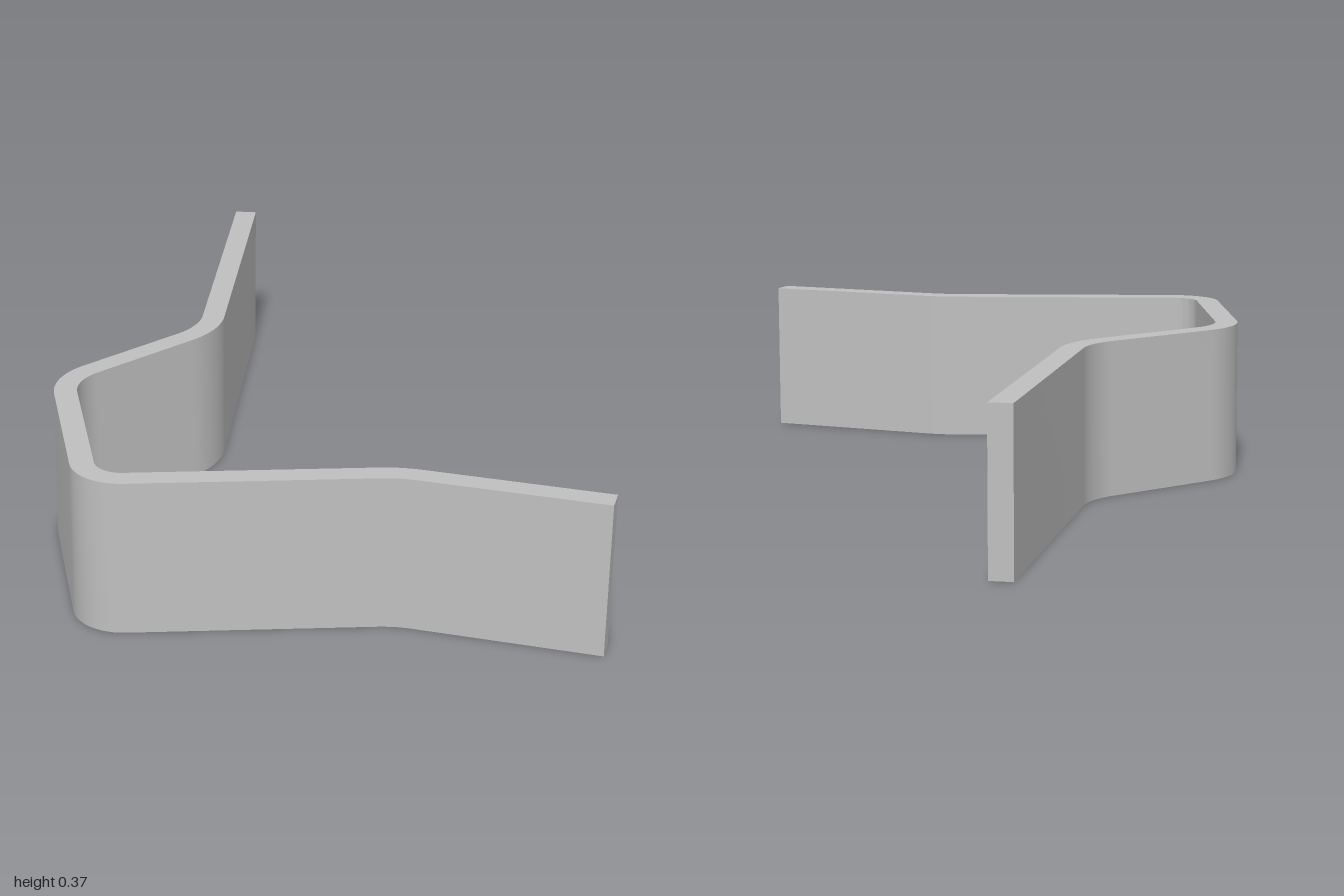
import * as THREE from 'three';
import { toCreasedNormals } from 'three/addons/utils/BufferGeometryUtils.js';

const HEIGHT = 0.373;
const THICKNESS = 0.055;
const ARC_STEPS = 12;

// Centre line of the strip seen from above: x, z, bend radius
const PATH = [
  [0.412, -0.9875, 0],
  [0.028, -0.233, 0.21],
  [-0.408, -0.065, 0.156],
  [-0.523, 0.476, 0.092],
  [0.138, 0.688, 0.26],
  [0.52, 0.978, 0],
];

// Outline of a constant-thickness strip with rounded bends
function stripOutline(path, thickness) {
  const pts = path.map(([x, z]) => new THREE.Vector2(x, -z));
  const headings = pts.slice(1).map((p, i) => p.clone().sub(pts[i]).angle());
  const left = [], right = [];
  const normal = (a) => new THREE.Vector2(-Math.sin(a), Math.cos(a));
  const add = (p, a) => {
    left.push(p.clone().addScaledVector(normal(a), thickness / 2));
    right.push(p.clone().addScaledVector(normal(a), -thickness / 2));
  };

  add(pts[0], headings[0]);
  for (let i = 1; i < pts.length - 1; i++) {
    const a = headings[i - 1], r = path[i][2];
    const d = headings[i] - a;
    const turn = Math.atan2(Math.sin(d), Math.cos(d));
    const side = Math.sign(turn);
    const tangent = r * Math.tan(Math.abs(turn) / 2);
    const centre = pts[i].clone()
      .addScaledVector(new THREE.Vector2(Math.cos(a), Math.sin(a)), -tangent)
      .addScaledVector(normal(a), side * r);
    for (let k = 0; k <= ARC_STEPS; k++) {
      const b = a + (turn * k) / ARC_STEPS;
      add(centre.clone().addScaledVector(normal(b), -side * r), b);
    }
  }
  add(pts[pts.length - 1], headings[headings.length - 1]);
  return new THREE.Shape([...right, ...left.reverse()]);
}

export function createModel() {
  const group = new THREE.Group();
  group.name = 'bentBracket';

  const metal = new THREE.MeshStandardMaterial({ color: 0xc0c0c0 });
  metal.name = 'light grey metal';

  // Bent strip, standing on its edge
  const extruded = new THREE.ExtrudeGeometry(stripOutline(PATH, THICKNESS), {
    depth: HEIGHT,
    bevelEnabled: false,
  });
  extruded.rotateX(-Math.PI / 2);
  const strip = new THREE.Mesh(toCreasedNormals(extruded, 0.5), metal);
  strip.name = 'bentStrip';
  group.add(strip);

  return group;
}
